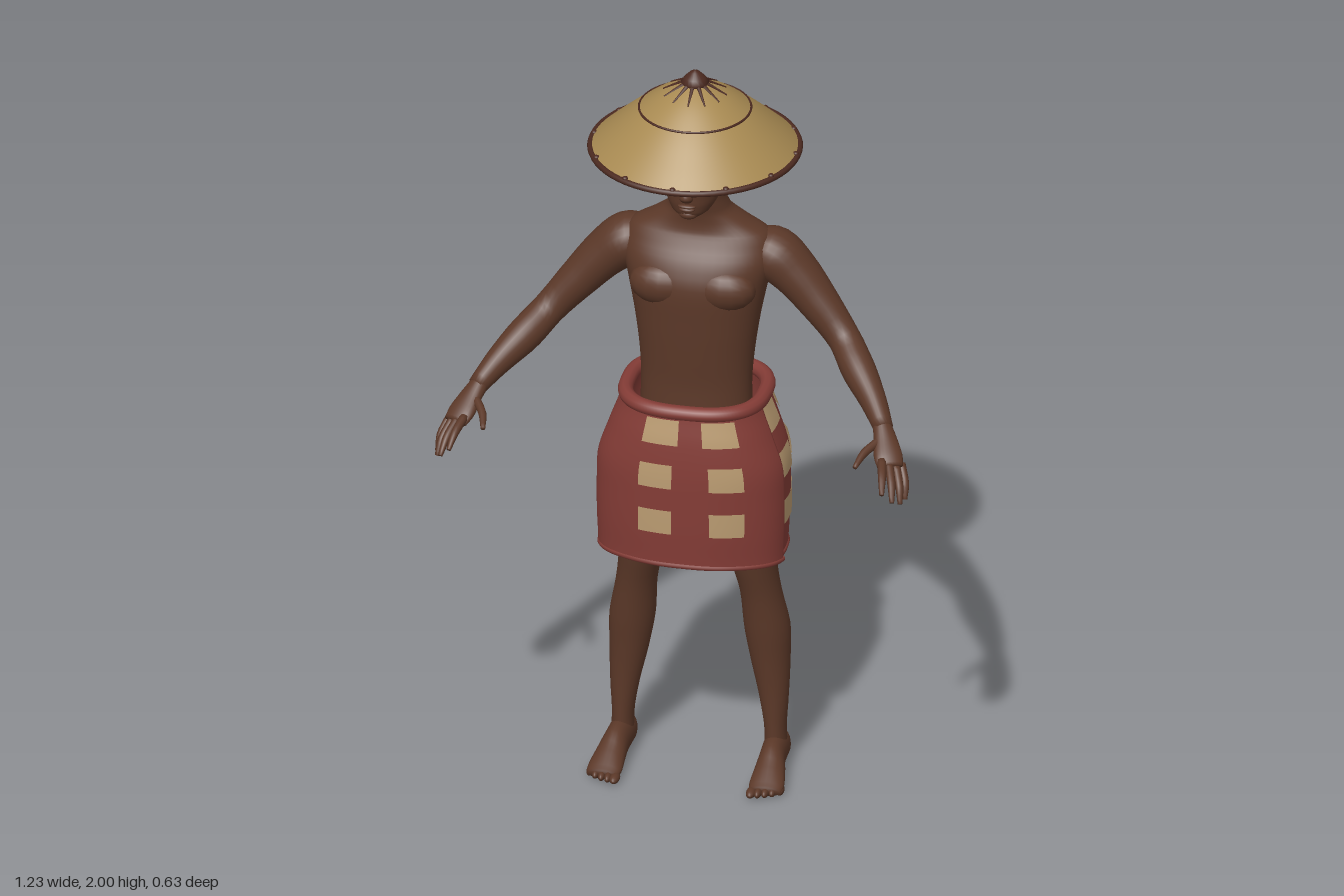
import * as THREE from 'three';

const paint = (name, color, side = THREE.FrontSide) => {
  const m = new THREE.MeshStandardMaterial({ color, side });
  m.name = name;
  return m;
};
const V = (x, y, z) => new THREE.Vector3(x, y, z);
const spline = pts => new THREE.SplineCurve(pts.map(p => new THREE.Vector2(...p)));
const roundPower = (c, e) => Math.sign(c) * Math.abs(c) ** e;

// Smooth closed loft through rows [x, y, z, rx, rz]; rings lie flat, or across the path
function loft(rows, { along = false, power = 2, seg = 24, sculpt = () => {} } = {}) {
  const centre = new THREE.CatmullRomCurve3(rows.map(r => V(r[0], r[1], r[2])));
  const radii = new THREE.CatmullRomCurve3(rows.map(r => V(r[3], r[4], 0)));
  const steps = (rows.length - 1) * 4, pos = [], idx = [];
  const up = Math.sign(rows[rows.length - 1][1] - rows[0][1]);
  for (let i = 0; i <= steps; i++) {
    const c = centre.getPoint(i / steps), r = radii.getPoint(i / steps);
    const T = along ? centre.getTangent(i / steps) : V(0, up, 0);
    const U = along ? T.clone().cross(V(0, 1, 0)).normalize() : V(1, 0, 0);
    const W = T.clone().cross(U);
    for (let j = 0; j < seg; j++) {
      const a = j / seg * Math.PI * 2, k = (j + 1) % seg, A = i * seg;
      const p = c.clone().addScaledVector(U, r.x * roundPower(Math.cos(a), 2 / power))
        .addScaledVector(W, r.y * roundPower(Math.sin(a), 2 / power));
      sculpt(p, c);
      pos.push(p.x, p.y, p.z);
      if (i < steps) idx.push(A + j, A + k, A + seg + j, A + k, A + seg + k, A + seg + j);
    }
  }
  const end = steps * seg, c0 = end + seg;
  for (const t of [0, 1]) {
    const p = centre.getPoint(t);
    sculpt(p, p.clone());
    pos.push(p.x, p.y, p.z);
  }
  for (let j = 0; j < seg; j++) {
    const k = (j + 1) % seg;
    idx.push(c0, k, j, c0 + 1, end + j, end + k);
  }
  const g = new THREE.BufferGeometry();
  g.setAttribute('position', new THREE.Float32BufferAttribute(pos, 3));
  g.setIndex(idx);
  g.computeVertexNormals();
  return g;
}

export function createModel() {
  const skin = paint('skin', 0x5b3828), straw = paint('straw', 0xa88a52, THREE.DoubleSide);
  const bark = paint('dark binding', 0x4c2a20), hairBlack = paint('hair black', 0x14110f);
  const cloth = paint('red cloth', 0x843c36, THREE.DoubleSide);
  const check = paint('tan check', 0xbb9c72, THREE.DoubleSide);

  const model = new THREE.Group();
  model.name = 'figure';
  const add = (name, geo, mat) => {
    const m = new THREE.Mesh(geo, mat);
    m.name = name;
    model.add(m);
    return m;
  };
  const ball = (name, x, y, z, sx, sy, sz, mat = skin) => {
    const m = add(name, new THREE.SphereGeometry(1, 16, 12), mat);
    m.position.set(x, y, z);
    m.scale.set(sx, sy, sz);
  };
  const rod = (name, a, b, ra, rb, mat) => {
    const m = add(name, new THREE.CylinderGeometry(rb, ra, a.distanceTo(b), 6), mat);
    m.position.copy(a).lerp(b, 0.5);
    m.quaternion.setFromUnitVectors(V(0, 1, 0), b.clone().sub(a).normalize());
  };

  // Torso and neck, with a groove along the spine
  add('torso', loft([
    [0, 0.92, -0.06, 0.15, 0.1], [0, 1.1, -0.058, 0.143, 0.088], [0, 1.2, -0.066, 0.149, 0.1],
    [0, 1.3, -0.072, 0.163, 0.11], [0, 1.4, -0.08, 0.183, 0.118], [0, 1.46, -0.09, 0.198, 0.108],
    [0, 1.52, -0.1, 0.185, 0.083], [0, 1.555, -0.098, 0.13, 0.07], [0, 1.59, -0.09, 0.083, 0.064],
    [0, 1.63, -0.08, 0.068, 0.062], [0, 1.7, -0.07, 0.06, 0.06],
  ], { power: 2.2, seg: 48, sculpt: (p, c) => {
    if (p.z < c.z && p.y < 1.54) p.z += 0.015 * Math.exp(-((p.x / 0.03) ** 2));
  } }), skin);

  // Head, face and hair
  add('head', loft([
    [0, 1.612, 0.015, 0.02, 0.02], [0, 1.63, -0.002, 0.048, 0.055], [0, 1.66, -0.028, 0.068, 0.088],
    [0, 1.7, -0.045, 0.077, 0.108], [0, 1.76, -0.055, 0.083, 0.118], [0, 1.82, -0.06, 0.079, 0.113],
    [0, 1.865, -0.06, 0.05, 0.07], [0, 1.88, -0.06, 0.005, 0.005],
  ], { power: 2.2, seg: 32 }), skin);
  add('nose', loft([[0, 1.735, 0.055, 0.009, 0.01], [0, 1.705, 0.062, 0.01, 0.013],
    [0, 1.685, 0.063, 0.018, 0.019], [0, 1.673, 0.058, 0.015, 0.014]], { seg: 12 }), skin);
  ball('upperLip', 0, 1.657, 0.056, 0.024, 0.006, 0.012);
  ball('lowerLip', 0, 1.647, 0.054, 0.021, 0.007, 0.012);
  ball('chin', 0, 1.627, 0.04, 0.024, 0.014, 0.016);
  add('hair', loft([
    [0, 1.765, -0.062, 0.086, 0.117], [0, 1.79, -0.062, 0.088, 0.12], [0, 1.83, -0.062, 0.083, 0.115],
    [0, 1.87, -0.06, 0.05, 0.07], [0, 1.885, -0.06, 0.005, 0.005],
  ], { power: 2.2, seg: 32, sculpt: p => { p.y += (p.z + 0.06) * 0.24; } }), hairBlack);

  for (const s of [1, -1]) {
    const side = s > 0 ? 'left' : 'right';
    const limb = (name, rows, options) => add(side + name, loft(rows.map(([x, ...r]) => [x * s, ...r]), options), skin);
    ball(side + 'Brow', 0.033 * s, 1.735, 0.045, 0.026, 0.008, 0.016);
    ball(side + 'Eyelid', 0.033 * s, 1.715, 0.043, 0.016, 0.009, 0.014);
    ball(side + 'Ear', 0.081 * s, 1.712, -0.05, 0.009, 0.029, 0.017);
    ball(side + 'Chest', 0.08 * s, 1.395, -0.012, 0.085, 0.06, 0.054);
    ball(side + 'ShoulderBlade', 0.1 * s, 1.43, -0.165, 0.065, 0.075, 0.036);

    // Arm and hand
    limb('Arm', [
      [0.13, 1.475, -0.11, 0.05, 0.05], [0.19, 1.458, -0.11, 0.074, 0.07], [0.245, 1.415, -0.105, 0.066, 0.062],
      [0.31, 1.345, -0.09, 0.053, 0.053], [0.385, 1.26, -0.06, 0.042, 0.044], [0.43, 1.215, -0.005, 0.044, 0.046],
      [0.49, 1.16, 0.07, 0.034, 0.036], [0.53, 1.117, 0.13, 0.025, 0.026],
    ], { along: true });
    limb('Palm', [[0.522, 1.125, 0.12, 0.023, 0.023], [0.54, 1.1, 0.155, 0.03, 0.02],
      [0.556, 1.073, 0.193, 0.037, 0.018], [0.567, 1.055, 0.218, 0.033, 0.013]], { along: true });
    const digits = [
      [[0.545, 1.068, 0.215], [0.557, 1.05, 0.268], [0.565, 1.02, 0.308]],
      [[0.562, 1.06, 0.213], [0.58, 1.03, 0.262], [0.589, 0.995, 0.297]],
      [[0.578, 1.052, 0.203], [0.597, 1.015, 0.245], [0.604, 0.978, 0.268]],
      [[0.588, 1.05, 0.185], [0.606, 1.012, 0.218], [0.61, 0.977, 0.238]],
      [[0.53, 1.1, 0.16], [0.498, 1.085, 0.215], [0.485, 1.068, 0.265]],
    ];
    const thick = [0.012, 0.0105, 0.006];
    digits.forEach((d, i) => limb(i < 4 ? 'Finger' : 'Thumb',
      d.map((p, k) => [...p, thick[k], thick[k]]), { along: true, seg: 10 }));

    // Leg, foot and toes
    limb('Leg', [
      [0.11, 0.96, -0.06, 0.08, 0.09], [0.128, 0.8, -0.065, 0.085, 0.092], [0.142, 0.62, -0.07, 0.061, 0.073],
      [0.162, 0.5, -0.084, 0.053, 0.061], [0.175, 0.4, -0.097, 0.059, 0.063], [0.184, 0.3, -0.098, 0.051, 0.053],
      [0.194, 0.2, -0.092, 0.038, 0.041], [0.199, 0.1, -0.09, 0.028, 0.039], [0.2, 0.04, -0.09, 0.03, 0.04],
    ]);
    limb('Foot', [
      [0.2, 0.035, -0.142, 0.018, 0.025], [0.2, 0.045, -0.115, 0.033, 0.045], [0.203, 0.046, -0.04, 0.033, 0.048],
      [0.208, 0.033, 0.02, 0.04, 0.034], [0.211, 0.02, 0.07, 0.045, 0.021], [0.212, 0.015, 0.095, 0.04, 0.013],
    ], { along: true, sculpt: p => { p.y = Math.max(p.y, 0.001); } });
    for (let i = 0; i < 5; i++)
      ball(side + 'Toe', (0.178 + i * 0.0175) * s, 0.012, 0.1 - i * i * 0.0018,
        i ? 0.0095 : 0.013, 0.012, i ? 0.022 : 0.026);
  }

  // Wrapped skirt: a point at angle a (front is PI / 2), height v and distance out
  const hips = spline([[0.234, 0.17], [0.238, 0.175], [0.239, 0.177], [0.235, 0.177], [0.206, 0.17], [0.176, 0.156]]);
  function skirtPoint(a, v, out = 0) {
    const r = hips.getPoint(THREE.MathUtils.clamp(v, 0, 1)), hem = 0.64 + 0.015 * Math.sin(a);
    const o = out + 0.003 * Math.sin(5 * a) * (1 - v);
    return V((r.x + o) * roundPower(Math.cos(a), 0.77), hem + (1.09 - hem) * v,
      -0.06 + (r.y + o) * roundPower(Math.sin(a), 0.77));
  }
  function panel(name, a0, a1, v0, v1, out, na, nv, mat, tuck = false) {
    const g = new THREE.PlaneGeometry(1, 1, na, nv), p = g.attributes.position;
    for (let i = 0; i < p.count; i++) {
      const u = p.getX(i) + 0.5, v = p.getY(i) + 0.5;
      const o = tuck && (u < 0.001 || u > 0.999) ? 0 : out;
      p.setXYZ(i, ...skirtPoint(a0 + (a1 - a0) * u, v0 + (v1 - v0) * v, o).toArray());
    }
    g.computeVertexNormals();
    add(name, g, mat);
  }
  const flapStart = 0.26, flapEnd = 2.9;
  panel('skirt', Math.PI * 2.5, Math.PI * 0.5, 0, 1, 0, 128, 24, cloth);
  panel('frontWrap', flapEnd, flapStart, -0.01, 0.99, 0.012, 96, 24, cloth, true);

  // Check pattern, each patch the same width along the cloth
  for (const a of [1.77, 1.175, 0.08, -0.63, -1.25, -1.87, -2.5, -3.1])
    for (const v of [0.29, 0.59, 0.87]) {
      let d = 0.02;
      while (skirtPoint(a - d, v).distanceTo(skirtPoint(a + d, v)) < 0.083) d += 0.005;
      panel('check', a + d, a - d, v - 0.077, v + 0.077, a > flapStart ? 0.016 : 0.005, 12, 6, check);
    }

  // Rolled waist and hems
  const edge = (name, v, out, radius, a0, a1, closed) => {
    const pts = Array.from({ length: 64 }, (_, i) => skirtPoint(a0 + (a1 - a0) * i / (closed ? 64 : 63), v, out));
    add(name, new THREE.TubeGeometry(new THREE.CatmullRomCurve3(pts, closed), 128, radius, 10, closed), cloth);
  };
  edge('waistRoll', 0.98, 0, 0.02, 0, Math.PI * 2, true);
  edge('hem', 0.01, -0.005, 0.009, 0, Math.PI * 2, true);
  edge('wrapHem', 0, 0.006, 0.009, flapStart, flapEnd, false);

  // Conical hat with binding, ribs and knob
  const hatZ = -0.04;
  const slope = spline([[0.004, 1.975], [0.08, 1.938], [0.15, 1.888], [0.22, 1.828], [0.268, 1.784]]);
  const dome = spline([[0.001, 1.955], [0.03, 1.958], [0.036, 1.968], [0.027, 1.98], [0.012, 1.995], [0.001, 2]]);
  add('hat', new THREE.LatheGeometry(slope.getPoints(20).reverse(), 64), straw).position.z = hatZ;
  add('hatKnob', new THREE.LatheGeometry(dome.points, 20), bark).position.z = hatZ;
  for (const [name, r, y, t] of [['hatRim', 0.267, 1.783, 0.008], ['hatStitching', 0.143, 1.894, 0.003],
    ['headBand', 0.13, 1.82, 0.008]]) {
    const hoop = add(name, new THREE.TorusGeometry(r, t, 8, 64), bark);
    hoop.rotation.x = Math.PI / 2;
    hoop.position.set(0, y, hatZ);
  }
  const hatPoint = (t, a, dy) => {
    const p = slope.getPoint(t);
    return V(p.x * Math.cos(a), p.y + dy, hatZ + p.x * Math.sin(a));
  };
  for (let i = 0; i < 12; i++) {
    const a = i / 12 * Math.PI * 2;
    rod('crownSpoke', hatPoint(0.08, a, 0.001), hatPoint(0.26, a, 0.001), 0.006, 0.002, bark);
    for (let k = 1; k < 4; k++)
      rod('innerRib', hatPoint(k / 4, a, -0.006), hatPoint((k + 1) / 4, a, -0.006), 0.003, 0.003, bark);
    ball('rimStitch', 0.263 * Math.cos(a), 1.79, hatZ + 0.263 * Math.sin(a), 0.008, 0.006, 0.008, bark);
  }
  return model;
}
